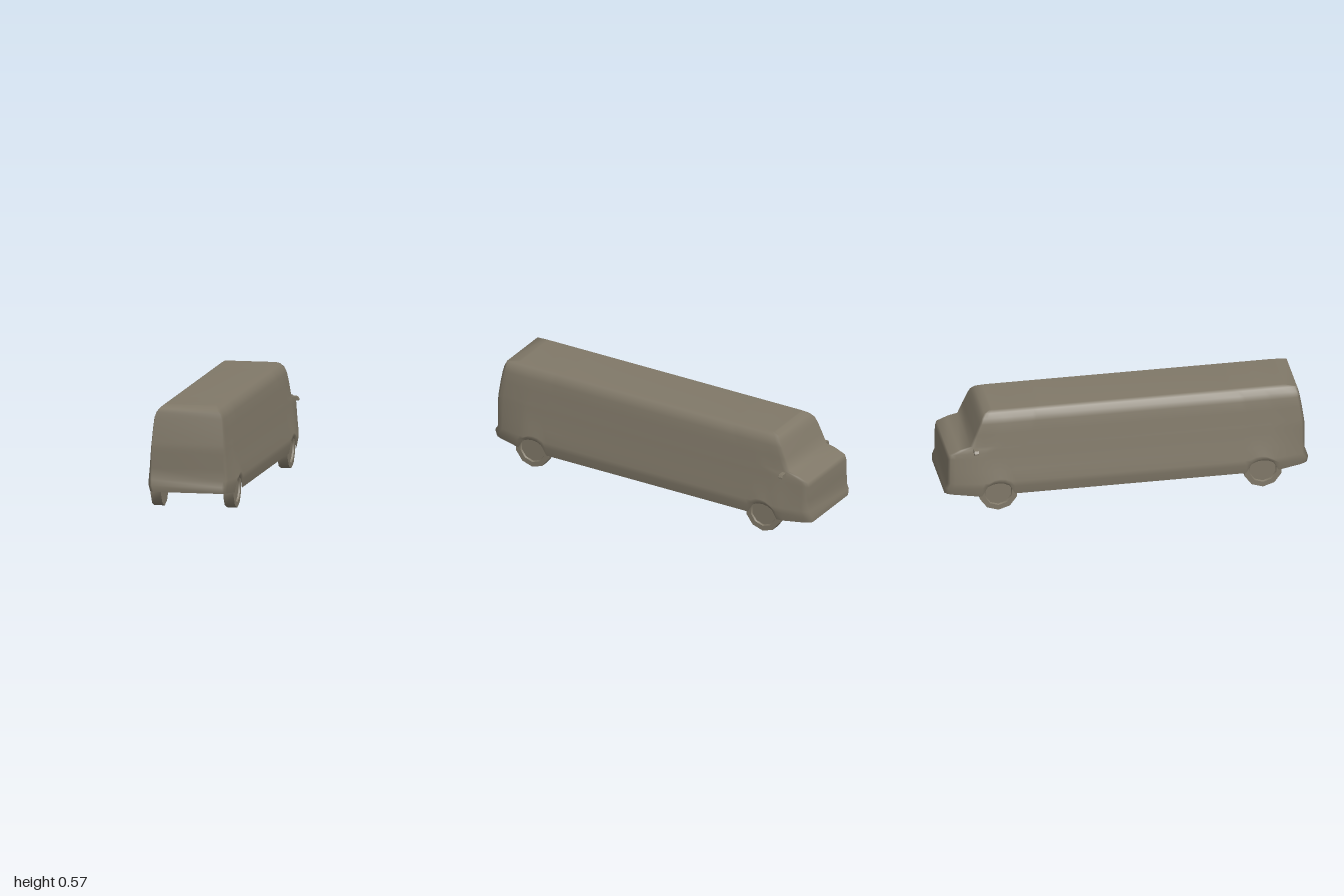
import * as THREE from 'three';
import { toCreasedNormals } from 'three/addons/utils/BufferGeometryUtils.js';

const WHEEL_Z = [-0.71, 0.745];

// Body levels from sill to roof: height, half width, front z, rear z
const LEVELS = [
  [0.095, 0.235, -1.0, 0.995],
  [0.145, 0.245, -1.0, 1.0],
  [0.175, 0.245, -0.986, 0.98],
  [0.24, 0.232, -0.985, 0.98],
  [0.32, 0.22, -0.983, 0.98],
  [0.347, 0.216, -0.975, 0.98],
  [0.37, 0.213, -0.92, 0.978],
  [0.385, 0.21, -0.86, 0.976],
  [0.45, 0.201, -0.833, 0.967],
  [0.51, 0.192, -0.807, 0.957],
  [0.54, 0.181, -0.793, 0.952],
  [0.562, 0.163, -0.775, 0.945],
  [0.574, 0.145, -0.742, 0.88],
];

// Lengthwise stations, denser around the wheel arches
const STATIONS = [-1, -0.985, -0.96, -0.9, -0.84];
for (const c of WHEEL_Z) {
  for (const d of [-0.09, -0.06, -0.03, 0, 0.03, 0.06, 0.09]) STATIONS.push(c + d);
  if (c < 0) STATIONS.push(-0.4, 0, 0.4);
}
STATIONS.push(0.9, 0.96, 0.985, 1);

// Plan outline narrows towards both ends, less so higher up
function plan(z, y) {
  const a = Math.abs(z);
  if (a < 0.82) return 1;
  const k = Math.min(1, (0.574 - y) / 0.424) ** 1.6;
  const taper = 0.11 * k * Math.min(1, (a - 0.82) / 0.14);
  const corner = a < 0.96 ? 0 : (0.03 + 0.07 * k) * ((a - 0.96) / 0.04) ** 2;
  return 1 - taper - corner;
}

function archHeight(z) {
  const d = Math.min(...WHEEL_Z.map((c) => Math.abs(z - c)));
  return d < 0.089 ? 0.095 + 0.07 * Math.sqrt(1 - (d / 0.09) ** 2) : 0;
}

const sillHeight = (z) => 0.095 + 0.015 * Math.max(0, (Math.abs(z) - 0.82) / 0.18);

function bodyPoint(level, s, side) {
  const [y, w, front, rear] = LEVELS[level];
  const arch = archHeight(s);
  let py = level === 0 ? sillHeight(s) : y;
  if (level < 3 && arch) py = Math.max(py, arch + level * 0.015);
  return [side * w * plan(s, y), py, s < 0 ? -s * front : s * rear];
}

const quad = (index, a, b, c, d) => index.push(a, b, c, a, c, d);

// Stacked plan outlines closed by the roof and open underneath
function shellGeometry() {
  const points = [], index = [];
  const n = STATIONS.length, ring = 2 * n;
  for (let l = 0; l < LEVELS.length; l++) {
    for (const s of STATIONS) points.push(bodyPoint(l, s, 1));
    for (const s of [...STATIONS].reverse()) points.push(bodyPoint(l, s, -1));
  }
  for (let l = 0; l < LEVELS.length - 1; l++) {
    for (let i = 0; i < ring; i++) {
      const j = (i + 1) % ring, a = l * ring, b = a + ring;
      quad(index, a + i, b + i, b + j, a + j);
    }
  }
  const top = (LEVELS.length - 1) * ring;
  for (let i = 0; i < n - 1; i++) {
    quad(index, top + i, top + ring - 1 - i, top + ring - 2 - i, top + i + 1);
  }
  const geo = new THREE.BufferGeometry();
  geo.setAttribute('position', new THREE.Float32BufferAttribute(points.flat(), 3));
  geo.setIndex(index);
  geo.computeVertexNormals();
  return geo;
}

const outline = (pairs) => pairs.map(([x, y]) => new THREE.Vector2(x, y));

function mirrorGeometry() {
  const shape = new THREE.Shape(outline([
    [0.2, 0.355], [0.247, 0.355], [0.247, 0.364], [0.238, 0.377], [0.2, 0.377],
  ]));
  return new THREE.ExtrudeGeometry(shape, { depth: 0.024, bevelEnabled: false }).translate(0, 0, -0.844);
}

// Ten-sided wheel with a shallow recess in its outer face
function wheelGeometry() {
  const profile = outline([
    [0, -0.0285], [0.107, -0.0285], [0.107, 0.0285], [0.078, 0.0285], [0.074, 0.0185], [0, 0.0185],
  ]);
  const geo = new THREE.LatheGeometry(profile, 10).rotateZ(-Math.PI / 2).rotateX(Math.PI / 10);
  return toCreasedNormals(geo, 0.7);
}

export function createModel() {
  const model = new THREE.Group();
  const paint = new THREE.MeshStandardMaterial({ color: 0x807868 });
  const shellPaint = new THREE.MeshStandardMaterial({ color: 0x807868, side: THREE.DoubleSide });
  const add = (name, geometry, material) => {
    const mesh = new THREE.Mesh(geometry, material);
    mesh.name = name;
    model.add(mesh);
    return mesh;
  };

  add('body', shellGeometry(), shellPaint);

  // Wheels and side mirrors
  const wheel = wheelGeometry();
  const mirror = mirrorGeometry();
  for (const side of [1, -1]) {
    const label = side > 0 ? 'Left' : 'Right';
    add('mirror' + label, mirror, paint).scale.x = side;
    WHEEL_Z.forEach((z, i) => {
      const mesh = add((i ? 'rear' : 'front') + 'Wheel' + label, wheel, paint);
      mesh.position.set(side * 0.2005, 0.107, z);
      if (side < 0) mesh.rotation.y = Math.PI;
    });
  }
  return model;
}
